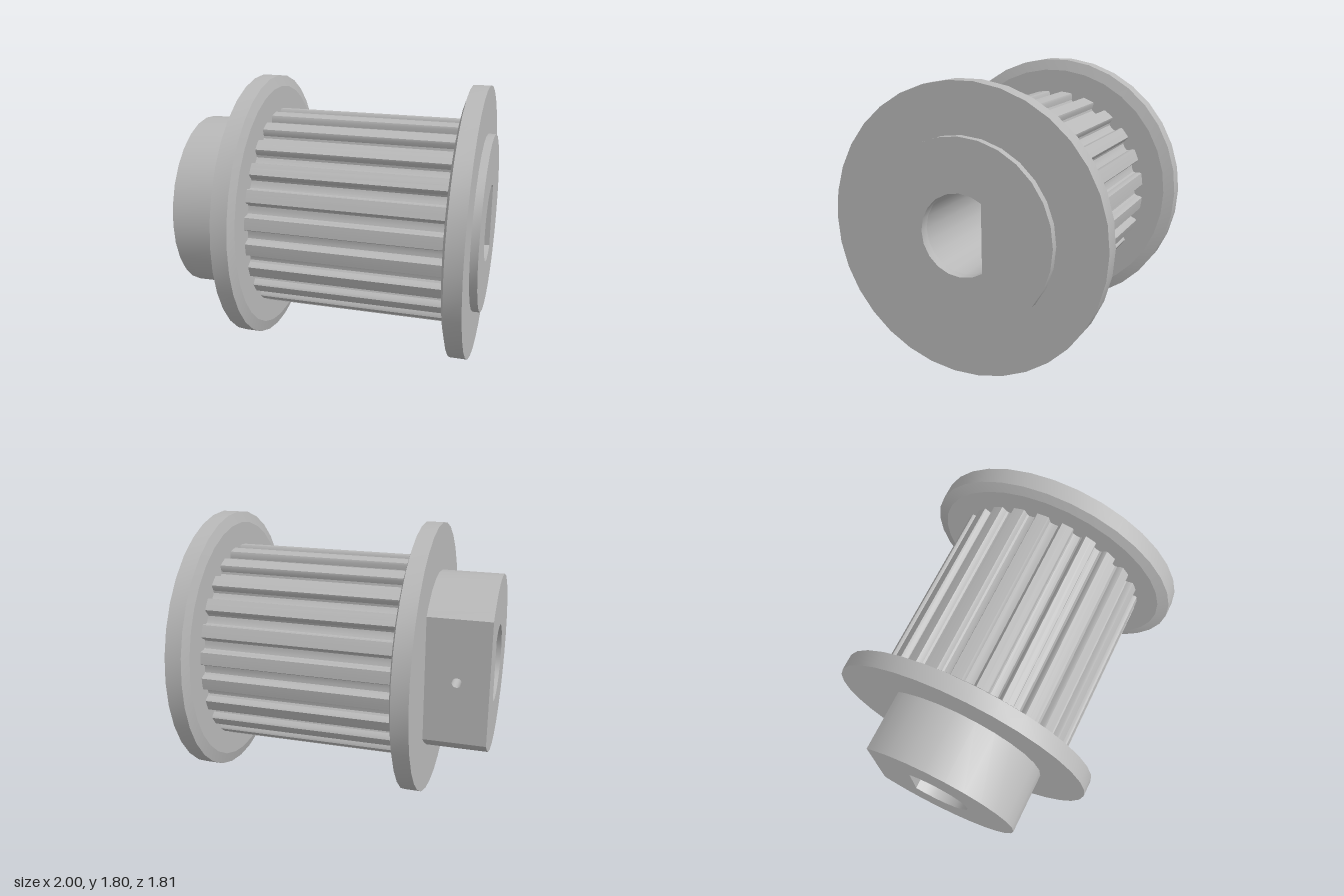
import * as THREE from 'three';
import { toCreasedNormals } from 'three/addons/utils/BufferGeometryUtils.js';

const AXIS_Y = 0.9;
const BORE_R = 0.257, BORE_FLAT = 0.145;
const HUB_R = 0.59, HUB_FLAT = 0.42;
const CORE_R = 0.677, TEETH = 24;

const polar = (r, a) => new THREE.Vector2(r * Math.cos(a), r * Math.sin(a));

// Arc of a regular polygon, cut off by a flat at u = flat
function cutCircle(r, flat, sides) {
  const a0 = Math.acos(flat / r), step = (Math.PI * 2) / sides;
  const pts = [polar(r, a0)];
  for (let i = Math.ceil(a0 / step); i * step < Math.PI * 2 - a0; i++) pts.push(polar(r, i * step));
  pts.push(polar(r, -a0));
  return pts;
}

const circle = (r, sides) =>
  Array.from({ length: sides }, (_, i) => polar(r, (i / sides) * Math.PI * 2));

// Extrude a (-z, y) outline along x
function extrudeX(shape, x0, x1) {
  const g = new THREE.ExtrudeGeometry(shape, { depth: x1 - x0, bevelEnabled: false });
  g.rotateY(Math.PI / 2).translate(x0, 0, 0);
  return toCreasedNormals(g, 0.45);
}

function withBore(points) {
  const shape = new THREE.Shape(points);
  shape.holes.push(new THREE.Path(cutCircle(BORE_R, BORE_FLAT, 20)));
  return shape;
}

// Belt tooth outline: rounded grooves cut into a circle
function toothOutline() {
  const groove = [[-0.049, 0], [-0.042, 0.012], [-0.037, 0.044], [-0.027, 0.056], [0, 0.06],
    [0.027, 0.056], [0.037, 0.044], [0.042, 0.012], [0.049, 0]];
  const pts = [], pitch = (Math.PI * 2) / TEETH;
  for (let i = 0; i < TEETH; i++) {
    for (const [w, d] of groove) pts.push(polar(CORE_R - d, i * pitch + w / CORE_R));
    pts.push(polar(CORE_R, (i + 0.5) * pitch));
  }
  return pts;
}

export function createModel() {
  const group = new THREE.Group();
  const steel = new THREE.MeshStandardMaterial({ color: 0xb8b8b8 });
  steel.name = 'steel grey';

  const add = (name, geometry) => {
    const mesh = new THREE.Mesh(geometry, steel);
    mesh.name = name;
    mesh.position.y = AXIS_Y;
    group.add(mesh);
    return mesh;
  };

  // Toothed drum
  add('toothedDrum', extrudeX(withBore(toothOutline()), -0.58, 0.94));

  // Flanges, chamfered on the sides that face each other
  const profile = [[0.3, 0], [0.903, 0], [0.903, 0.11], [0.83, 0.132], [0.3, 0.132], [0.3, 0]]
    .map(([r, h]) => new THREE.Vector2(r, h));
  for (const [name, x, dir] of [['rightFlange', -0.592, -1], ['leftFlange', 0.95, 1]]) {
    const g = new THREE.LatheGeometry(profile, 34).rotateZ((dir * Math.PI) / 2);
    add(name, toCreasedNormals(g, 0.23)).position.x = x;
  }

  // Low boss outside the left flange
  add('endBoss', extrudeX(withBore(circle(HUB_R, 28)), 0.94, 1));

  // Hub with a flat, left open where the screw block sits
  const half = 0.1;
  const hub = new THREE.Shape([
    new THREE.Vector2(HUB_FLAT, half),
    ...cutCircle(HUB_R, HUB_FLAT, 28),
    new THREE.Vector2(HUB_FLAT, -half),
    new THREE.Vector2(BORE_FLAT, -half),
    ...cutCircle(BORE_R, BORE_FLAT, 20).reverse(),
    new THREE.Vector2(BORE_FLAT, half),
  ]);
  add('hub', extrudeX(hub, -1, -0.58));

  // Block between hub flat and bore flat, drilled for the set screw
  const block = new THREE.Shape([[-1, -half], [-0.58, -half], [-0.58, half], [-1, half]]
    .map(([x, y]) => new THREE.Vector2(x, y)));
  const drill = circle(0.032, 16).map((p) => p.add(new THREE.Vector2(-0.795, 0)));
  block.holes.push(new THREE.Path(drill));
  const blockGeo = new THREE.ExtrudeGeometry(block, { depth: HUB_FLAT - BORE_FLAT, bevelEnabled: false });
  blockGeo.translate(0, 0, -HUB_FLAT);
  add('setScrewBlock', toCreasedNormals(blockGeo, 0.45));

  return group;
}
